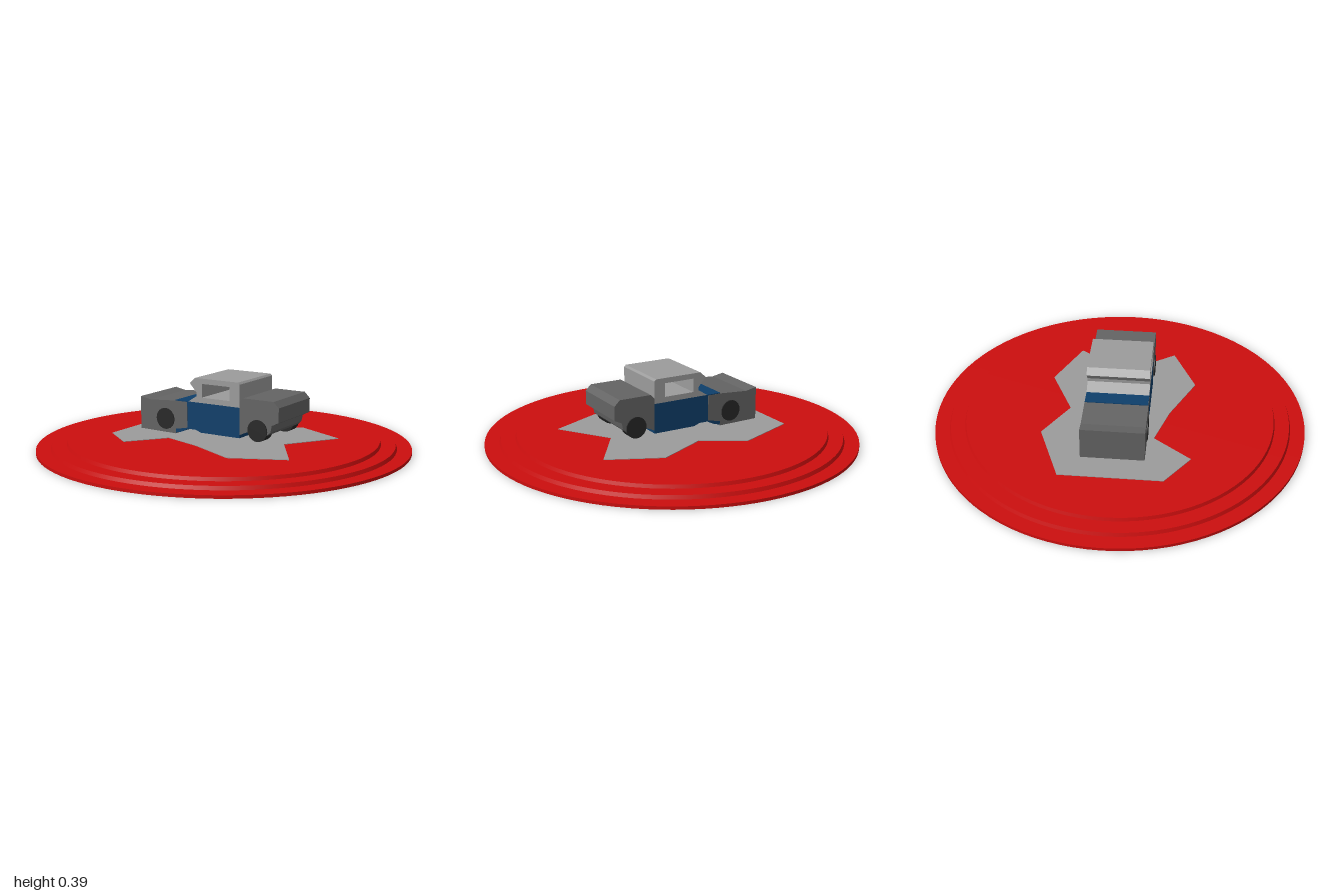
import * as THREE from 'three';

const mat = (name, color) => new THREE.MeshStandardMaterial({ name, color });

export function createModel() {
  const red = mat('red', 0xcc0e0e);
  const lightGrey = mat('light grey', 0x9c9c9c);
  const darkGrey = mat('dark grey', 0x646464);
  const blue = mat('blue', 0x0e3f6b);
  const black = mat('black', 0x282828);

  const model = new THREE.Group();
  model.name = 'carOnStand';
  const add = (name, geometry, material, x = 0, y = 0, z = 0) => {
    const mesh = new THREE.Mesh(geometry, material);
    mesh.name = name;
    mesh.position.set(x, y, z);
    model.add(mesh);
    return mesh;
  };
  const outline = (points) => new THREE.Shape(points.map(([x, y]) => new THREE.Vector2(x, y)));

  // Side profile extruded across the car, centred on z = 0
  const slab = (name, shape, halfWidth, material) => {
    const geometry = new THREE.ExtrudeGeometry(shape, { depth: halfWidth * 2, bevelEnabled: false });
    add(name, geometry, material, 0, 0, -halfWidth);
  };

  // Stepped round stand: bottom radius, top radius, bottom y, top y
  [
    [1, 1, 0, 0.016],
    [0.922, 0.915, 0.016, 0.035],
    [0.838, 0.832, 0.035, 0.053],
  ].forEach(([r0, r1, y0, y1], i) => {
    add(`standTier${i + 1}`, new THREE.CylinderGeometry(r1, r0, y1 - y0, 96), red, 0, (y0 + y1) / 2, 0);
  });

  // Jagged ground patch, drawn with (x, -z)
  const patch = outline([
    [-0.55, -0.27], [-0.37, -0.4], [-0.22, -0.2], [0, -0.27], [0.27, -0.4], [0.55, -0.27],
    [0.37, 0], [0.55, 0.27], [0.27, 0.4], [0, 0.27], [-0.22, 0.4], [-0.55, 0.27],
  ]);
  const patchGeometry = new THREE.ExtrudeGeometry(patch, { depth: 0.003, bevelEnabled: false });
  patchGeometry.rotateX(-Math.PI / 2);
  add('groundPatch', patchGeometry, lightGrey, 0, 0.053, 0);

  // Low front section
  slab('frontSection', outline([
    [-0.43, 0.078], [-0.2, 0.075], [-0.2, 0.1], [-0.125, 0.115], [-0.125, 0.254],
    [-0.2, 0.254], [-0.365, 0.243], [-0.43, 0.255],
  ]), 0.166, darkGrey);

  // Blue centre body
  slab('centreBody', outline([
    [-0.2, 0.08], [-0.165, 0.088], [-0.12, 0.11], [-0.07, 0.11], [-0.04, 0.098],
    [0.2, 0.098], [0.2, 0.258], [-0.2, 0.258],
  ]), 0.165, blue);

  // Cabin with an open side window
  const cabin = outline([
    [-0.118, 0.258], [0.2, 0.258], [0.2, 0.378], [0.19, 0.388], [-0.075, 0.388],
    [-0.108, 0.358], [-0.065, 0.31], [-0.065, 0.292],
  ]);
  cabin.holes.push(outline([[-0.032, 0.287], [-0.032, 0.36], [0.138, 0.36], [0.138, 0.287]]));
  slab('cabin', cabin, 0.165, lightGrey);

  // Raised rear section
  slab('rearSection', outline([
    [0.2, 0.115], [0.245, 0.135], [0.36, 0.13], [0.383, 0.15], [0.39, 0.185],
    [0.43, 0.205], [0.43, 0.28], [0.4, 0.31], [0.222, 0.31], [0.2, 0.288],
  ]), 0.165, darkGrey);

  // Wheels
  const wheel = new THREE.CylinderGeometry(0.057, 0.057, 0.06, 24).rotateX(Math.PI / 2);
  for (const [end, x] of [['front', -0.265], ['rear', 0.308]]) {
    for (const side of [-1, 1]) {
      add(`${end}Wheel${side > 0 ? 'A' : 'B'}`, wheel, black, x, 0.15, side * 0.141);
    }
  }
  return model;
}
